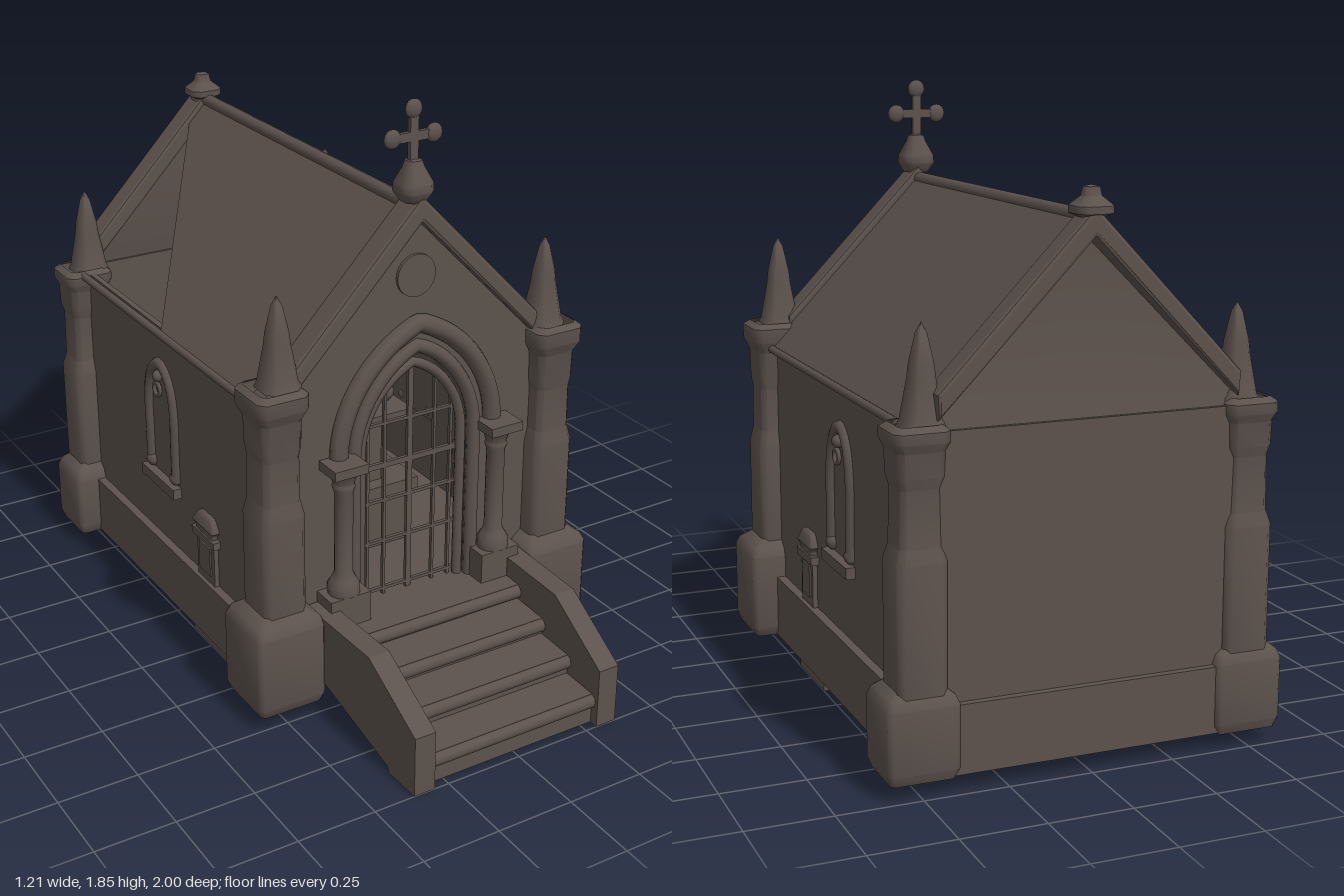
import * as THREE from 'three';
import { toCreasedNormals } from 'three/addons/utils/BufferGeometryUtils.js';

export function createModel() {
  const root = new THREE.Group();
  root.name = 'stoneChapel';
  const stone = new THREE.MeshStandardMaterial({ color: 0x5c524d, side: THREE.DoubleSide });
  stone.name = 'darkStone';

  const add = (name, geo, x = 0, y = 0, z = 0, parent = root) => {
    const m = new THREE.Mesh(geo, stone);
    m.name = name;
    m.position.set(x, y, z);
    parent.add(m);
    return m;
  };
  const box = (name, w, h, d, x, y, z, parent) => add(name, new THREE.BoxGeometry(w, h, d), x, y, z, parent);
  const v2 = ([x, y]) => new THREE.Vector2(x, y);
  const lathe = (name, pts, x, y, z) =>
    add(name, toCreasedNormals(new THREE.LatheGeometry(pts.map(v2), 14), 0.8), x, y, z);
  const extrude = (shape, depth, bevel = 0) => new THREE.ExtrudeGeometry(shape, {
    depth, curveSegments: 10, bevelEnabled: bevel > 0, bevelSize: bevel, bevelThickness: bevel, bevelSegments: 2,
  });

  // Chamfered square block swept up a profile of [half width, height]
  const corners = [[1, 1], [1, 1], [1, -1], [1, -1], [-1, -1], [-1, -1], [-1, 1], [-1, 1]];
  const pier = (pts, chamfer) => {
    const g = new THREE.LatheGeometry(pts.map(v2), 8);
    const p = g.attributes.position;
    for (let i = 0; i < p.count; i++) {
      const ring = Math.floor(i / pts.length) % 8, r = pts[i % pts.length][0];
      const [sx, sz] = corners[ring];
      const alongX = ring % 4 === 0 || ring % 4 === 3;
      p.setX(i, sx * r * (alongX ? chamfer : 1));
      p.setZ(i, sz * r * (alongX ? 1 : chamfer));
    }
    return toCreasedNormals(g, 0.8);
  };

  // Pointed arch outline, from left foot over the apex to right foot
  const archPoints = (w, foot, spring, apex, n = 12) => {
    const h = apex - spring;
    const c = new THREE.CubicBezierCurve(v2([-w, spring]), v2([-w, spring + 0.5 * h]),
      v2([-0.5 * w, apex - 0.12 * h]), v2([0, apex]));
    const left = [...(foot < spring ? [v2([-w, foot]), v2([-w, (foot + spring) / 2])] : []), ...c.getPoints(n)];
    return [...left, ...left.slice(0, -1).reverse().map((p) => v2([-p.x, p.y]))];
  };
  const archRoll = (name, w, foot, spring, apex, r, z) => {
    const path = new THREE.CatmullRomCurve3(
      archPoints(w, foot, spring, apex).map((p) => new THREE.Vector3(p.x, p.y, 0)), false, 'centripetal');
    return add(name, new THREE.TubeGeometry(path, 60, r, 8), 0, 0, z);
  };

  // Walls, and a hollow plinth under a raised floor
  for (const s of [-1, 1]) {
    box('sideWall', 0.02, 0.78, 1.34, s * 0.485, 0.62, -0.27);
    box('sidePlinth', 0.03, 0.2, 1.32, s * 0.508, 0.15, -0.26);
  }
  box('backWall', 0.98, 0.76, 0.02, 0, 0.62, -0.955);
  box('backPlinth', 1.0, 0.2, 0.03, 0, 0.15, -0.972);
  box('frontPlinth', 0.98, 0.2, 0.03, 0, 0.15, 0.425);
  box('floor', 0.99, 0.015, 1.37, 0, 0.245, -0.27);

  // Front wall with the pointed doorway
  const front = new THREE.Shape([[-0.49, 0.2], [0.49, 0.2], [0.49, 1.02], [0, 1.54], [-0.49, 1.02]].map(v2));
  front.holes.push(new THREE.Path(archPoints(0.2, 0.27, 0.78, 1.08)));
  add('frontWall', extrude(front, 0.06), 0, 0, 0.355);

  // Back gable, dished inward
  const gable = new THREE.BufferGeometry();
  gable.setAttribute('position', new THREE.Float32BufferAttribute(
    [0.49, 0.995, -0.955, -0.49, 0.995, -0.955, 0, 1.52, -0.91, 0, 1.17, -0.89], 3));
  gable.setIndex([0, 1, 3, 1, 2, 3, 2, 0, 3]);
  gable.computeVertexNormals();
  add('backGable', gable);

  // Roof slopes, the left hand one broken open at the back: outline in [distance out, z]
  const slope = (s, outline) => {
    const shape = new THREE.ShapeGeometry(new THREE.Shape(outline.map(v2)));
    const p = shape.attributes.position;
    for (let i = 0; i < p.count; i++) {
      const out = p.getX(i);
      p.setXYZ(i, s * out, 1.545 - out * 1.04, p.getY(i));
    }
    shape.computeVertexNormals();
    if (shape.attributes.normal.getY(0) < 0) {
      shape.index.array.reverse();
      shape.computeVertexNormals();
    }
    add('roofSlope', shape);
  };
  slope(1, [[0, 0.38], [0.52, 0.38], [0.52, -0.95], [0, -0.95]]);
  slope(-1, [[0, 0.38], [0.52, 0.38], [0.52, -0.25], [0.08, -0.89], [0, -0.95]]);
  const rod = (name, r, len, x, y, z) =>
    add(name, new THREE.CylinderGeometry(r, r, len, 8).rotateX(Math.PI / 2), x, y, z);
  rod('ridgeRoll', 0.022, 1.33, -0.005, 1.535, -0.28);
  for (const s of [-1, 1]) rod('eaveRoll', 0.013, 1.3, s * 0.515, 1.005, -0.26);

  // Gable copings
  const coping = new THREE.Shape([[0, 1.56], [-0.44, 1.1], [-0.44, 1.05], [0, 1.51], [0.44, 1.05], [0.44, 1.1]].map(v2));
  add('frontCoping', extrude(coping, 0.07, 0.012), 0, 0, 0.36);
  add('backCoping', extrude(coping, 0.065, 0.012), 0, -0.005, -0.968);

  // Corner piers: square base, moulded shaft and pinnacle
  const baseProfile = (r, y0, y1) => [[0, y0], [r * 0.9, y0], [r, y0 + 0.03], [r, y1 - 0.025], [r * 0.9, y1], [r * 0.6, y1 + 0.025]];
  const frontShaft = [[0.077, 0.33], [0.077, 0.68], [0.066, 0.73], [0.065, 0.87], [0.07, 0.9],
    [0.072, 0.99], [0.09, 1.025], [0.09, 1.07], [0.07, 1.085]];
  const backShaft = [[0.072, 0.27], [0.072, 0.65], [0.06, 0.69], [0.058, 0.85], [0.066, 0.88],
    [0.068, 0.95], [0.08, 0.975], [0.08, 1.005], [0.06, 1.02]];
  const pinnacle = [[0.06, 0], [0.052, 0.02], [0.034, 0.13], [0.03, 0.17], [0.014, 0.25], [0, 0.28]];
  for (const s of [-1, 1]) {
    add('frontPierBase', pier(baseProfile(0.115, 0.05, 0.345), 0.88), s * 0.488, 0, 0.408);
    add('frontPierShaft', pier(frontShaft, 0.75), s * 0.486, 0, 0.408).scale.x = 0.93;
    add('frontPinnacle', pier(pinnacle, 0.6), s * 0.466, 1.078, 0.408);
    add('backPierBase', pier(baseProfile(0.095, 0.045, 0.28), 0.88), s * 0.495, 0, -0.905).scale.x = 1.1;
    add('backPierShaft', pier(backShaft, 0.75), s * 0.492, 0, -0.915);
    add('backPinnacle', pier(pinnacle, 0.6), s * 0.47, 1.005, -0.91);
  }

  // Gable finials and the cross
  const finial = [[0, 0], [0.035, 0], [0.052, 0.03], [0.05, 0.055], [0.028, 0.1], [0.022, 0.12], [0, 0.125]];
  add('frontFinial', pier(finial, 0.6), -0.01, 1.555, 0.4);
  add('backFinial', pier([[0, 0], [0.035, 0], [0.035, 0.03], [0.053, 0.04], [0.053, 0.06], [0.025, 0.085],
    [0.02, 0.11], [0, 0.115]], 0.6), -0.005, 1.51, -0.93);
  const cross = new THREE.Group();
  cross.name = 'cross';
  cross.position.set(-0.012, 1.745, 0.4);
  cross.scale.z = 0.5;
  root.add(cross);
  box('crossStem', 0.028, 0.17, 0.03, 0, -0.01, 0, cross);
  box('crossArm', 0.16, 0.028, 0.03, 0, 0, 0, cross);
  for (const [x, y] of [[-0.07, 0], [0.07, 0], [0, 0.08]])
    add('crossKnob', new THREE.SphereGeometry(0.029, 10, 8), x, y, 0, cross);

  // Medallion
  add('medallion', new THREE.CylinderGeometry(0.066, 0.066, 0.016, 24).rotateX(Math.PI / 2), -0.008, 1.33, 0.417);

  // Doorway mouldings and columns
  archRoll('hoodMoulding', 0.275, 0.8, 0.8, 1.18, 0.03, 0.425);
  archRoll('doorMoulding', 0.215, 0.27, 0.78, 1.105, 0.022, 0.415);
  archRoll('doorFrame', 0.18, 0.27, 0.78, 1.045, 0.016, 0.395);
  for (const s of [-1, 1]) {
    box('columnPlinth', 0.14, 0.1, 0.1, s * 0.275, 0.32, 0.45);
    lathe('doorColumn', [[0.05, 0.37], [0.05, 0.4], [0.038, 0.42], [0.029, 0.44], [0.029, 0.71], [0.036, 0.73],
      [0.032, 0.74], [0.045, 0.78], [0.05, 0.785]], s * 0.275, 0, 0.455);
    box('columnCapital', 0.115, 0.03, 0.11, s * 0.278, 0.795, 0.455);
  }

  // Door grille
  const top = (x) => archPoints(0.18, 0.78, 0.78, 1.045).find((q) => q.x >= -Math.abs(x)).y;
  for (const x of [-0.15, -0.09, 0, 0.09, 0.15]) {
    const h = top(x) - 0.27;
    box('grilleBar', x === 0 ? 0.018 : 0.009, h, 0.012, x, 0.27 + h / 2, 0.385);
  }
  for (const y of [0.29, 0.46, 0.6, 0.72, 0.86])
    box('grilleRail', y > 0.8 ? 0.31 : 0.36, y === 0.72 ? 0.018 : 0.01, 0.012, 0, y, 0.385);

  // Side windows and wall pedestals
  for (const s of [-1, 1]) {
    const win = new THREE.Group();
    win.name = 'sideWindow';
    win.position.set(s * 0.494, 0, -0.31);
    win.rotation.y = s * Math.PI / 2;
    root.add(win);
    const half = [[0.09, 0.5], [0.09, 0.62], [0.09, 0.74], [0.072, 0.82], [0.035, 0.868]];
    const hood = new THREE.CatmullRomCurve3([...half.map(([x, y]) => [-x, y]), [0, 0.88], ...half.slice().reverse()]
      .map(([x, y]) => new THREE.Vector3(x, y, 0)));
    add('windowMoulding', new THREE.TubeGeometry(hood, 44, 0.021, 8), 0, 0, 0, win);
    box('windowSill', 0.235, 0.035, 0.05, 0, 0.468, 0.005, win);
    for (const k of [-1, 1]) add('windowFoot', new THREE.SphereGeometry(0.025, 10, 8), k * 0.085, 0.51, 0, win);
    add('windowRing', new THREE.TorusGeometry(0.022, 0.007, 6, 16), -0.015, 0.79, 0.01, win);
    add('windowBoss', new THREE.SphereGeometry(0.02, 10, 8), -0.015, 0.835, 0.005, win);

    const x = s * 0.49;
    box('pedestal', 0.04, 0.15, 0.115, x, 0.325, 0);
    box('pedestalPanel', 0.05, 0.1, 0.075, x, 0.33, 0);
    box('pedestalCornice', 0.06, 0.025, 0.15, x, 0.405, 0);
    add('pedestalCap', pier([[0.055, 0.415], [0.055, 0.43], [0.07, 0.445], [0.055, 0.47], [0.04, 0.485], [0, 0.485]], 0.9), x, 0, 0).scale.x = 0.45;
    // Feet hanging below the floor
    box('footing', 0.14, 0.045, 0.25, s * 0.43, 0.022, 0);
    box('footingBlock', 0.1, 0.21, 0.2, s * 0.42, 0.14, 0);
  }
  for (let i = 0; i < 4; i++) box('footingRib', 0.06, 0.2, 0.16, -0.24 + i * 0.16, 0.15, 0);

  // Interior tomb with an urn
  box('tomb', 0.36, 0.2, 0.2, 0, 0.35, 0);
  box('tombLid', 0.42, 0.04, 0.24, 0, 0.46, 0);
  box('tombUpper', 0.2, 0.22, 0.14, 0, 0.59, 0);
  box('tombShelf', 0.4, 0.025, 0.2, 0, 0.71, 0);
  lathe('urn', [[0, 0.72], [0.05, 0.72], [0.03, 0.76], [0.09, 0.84], [0.1, 0.9], [0.05, 0.95], [0.07, 0.98], [0, 1.02]], -0.02, 0, 0);
  for (const s of [-1, 1]) add('tombKnob', new THREE.SphereGeometry(0.035, 10, 8), s * 0.15, 0.755, 0);

  // Steps with rounded nosings
  [[0.1, 0.985], [0.165, 0.855], [0.22, 0.715], [0.27, 0.58]].forEach(([y, z], i) => {
    const depth = i === 3 ? 0.2 : 0.16;
    const h = i === 0 ? 0.1 : 0.075;
    box('step', 0.62, h, depth, -0.005, y - h / 2, z - depth / 2 - 0.015);
    add('stepNosing', new THREE.CylinderGeometry(0.024, 0.024, 0.62, 10).rotateZ(Math.PI / 2), -0.005, y - 0.024, z - 0.02);
  });

  // Sloping stair cheeks, splayed toward the door
  const cheek = new THREE.Shape([[0.42, 0.14], [0.86, 0.02], [0.87, 0], [1, 0], [1, 0.195], [0.76, 0.335], [0.42, 0.335]].map(v2));
  for (const s of [-1, 1]) {
    const g = extrude(cheek, 0.07).rotateY(-Math.PI / 2).translate(0.035, 0, 0);
    const p = g.attributes.position;
    for (let i = 0; i < p.count; i++) p.setX(i, p.getX(i) - s * (p.getZ(i) - 0.7) * 0.03);
    g.computeVertexNormals();
    add('stairCheek', g, -0.005 + s * 0.337, 0, 0);
  }
  return root;
}
